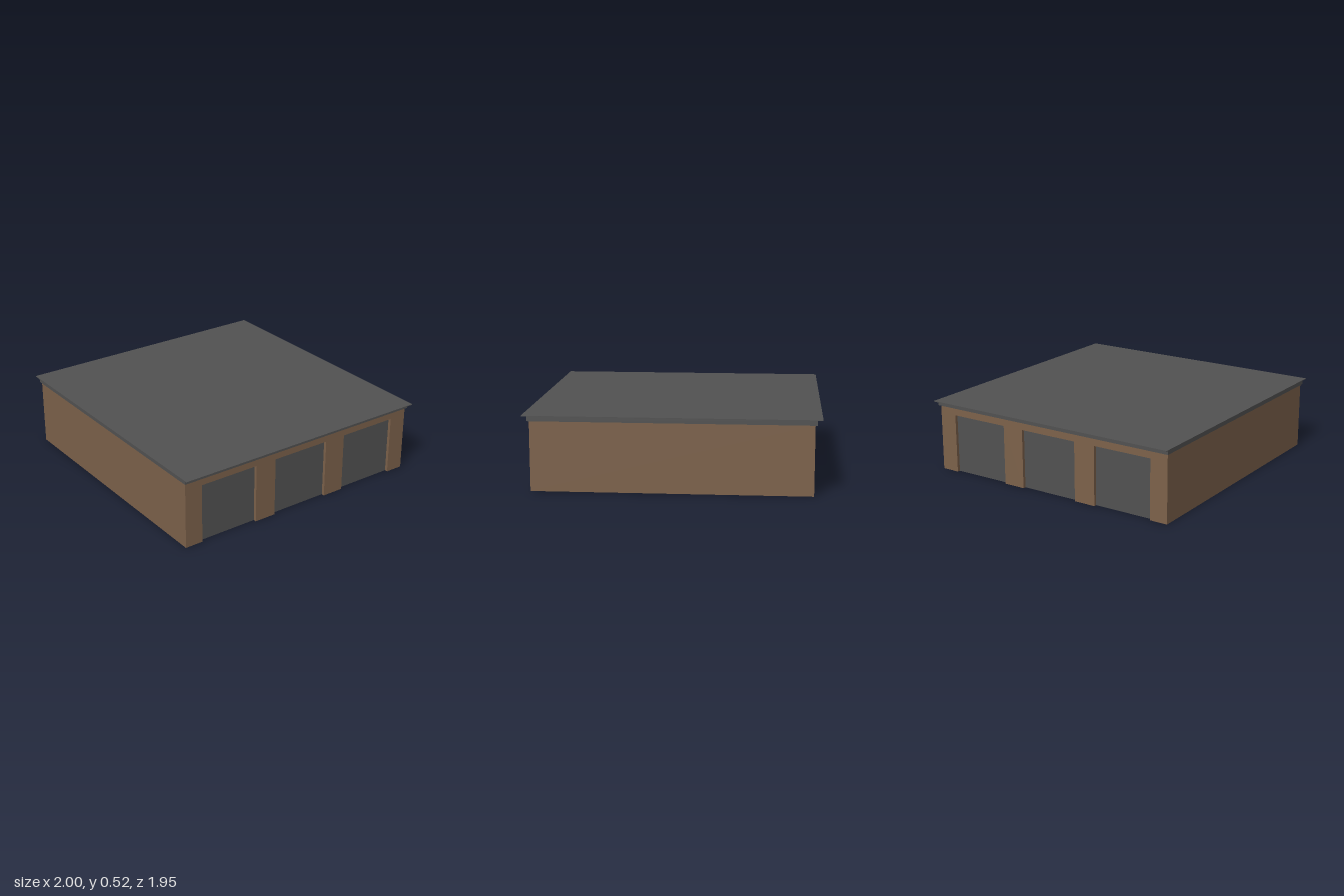
import * as THREE from 'three';

const WALL = 0.95, HEIGHT = 0.48, RECESS = 0.022;
const DOOR_W = 0.44, DOOR_H = 0.425, DOOR_Z = [-0.6, 0, 0.6];

export function createModel() {
  const brown = new THREE.MeshStandardMaterial({ color: 0x7d624b, side: THREE.DoubleSide });
  brown.name = 'brown wall';
  const grey = new THREE.MeshStandardMaterial({ color: 0x525252, side: THREE.DoubleSide });
  grey.name = 'dark grey';
  const model = new THREE.Group();
  model.name = 'garage';

  const add = (parent, name, geometry, material, x, y, z) => {
    const mesh = new THREE.Mesh(geometry, material);
    mesh.name = name;
    mesh.position.set(x, y, z);
    parent.add(mesh);
    return mesh;
  };

  // Plain front and back walls
  for (const [name, s] of [['frontWall', 1], ['backWall', -1]]) {
    const wall = add(model, name, new THREE.PlaneGeometry(2 * WALL, HEIGHT), brown, 0, HEIGHT / 2, s * WALL);
    if (s < 0) wall.rotation.y = Math.PI;
  }

  // Side wall, drawn facing +z and then turned outwards
  const outline = new THREE.Shape();
  outline.moveTo(-WALL, 0);
  for (const c of DOOR_Z) {
    outline.lineTo(c - DOOR_W / 2, 0);
    outline.lineTo(c - DOOR_W / 2, DOOR_H);
    outline.lineTo(c + DOOR_W / 2, DOOR_H);
    outline.lineTo(c + DOOR_W / 2, 0);
  }
  outline.lineTo(WALL, 0);
  outline.lineTo(WALL, HEIGHT);
  outline.lineTo(-WALL, HEIGHT);
  const sideGeometry = new THREE.ShapeGeometry(outline);

  for (const [name, s] of [['leftSide', 1], ['rightSide', -1]]) {
    const side = new THREE.Group();
    side.name = name;
    side.position.x = s * WALL;
    side.rotation.y = s * Math.PI / 2;
    model.add(side);
    add(side, 'sideWall', sideGeometry, brown, 0, 0, 0);
    for (const c of DOOR_Z) {
      // Recessed door with jambs and header
      add(side, 'door', new THREE.PlaneGeometry(DOOR_W, DOOR_H), grey, c, DOOR_H / 2, -RECESS);
      for (const e of [-1, 1]) {
        const jamb = add(side, 'doorJamb', new THREE.PlaneGeometry(RECESS, DOOR_H), brown,
          c + e * DOOR_W / 2, DOOR_H / 2, -RECESS / 2);
        jamb.rotation.y = -e * Math.PI / 2;
      }
      const header = add(side, 'doorHeader', new THREE.PlaneGeometry(DOOR_W, RECESS), brown,
        c, DOOR_H, -RECESS / 2);
      header.rotation.x = Math.PI / 2;
    }
  }

  // Ceiling stops just short of the front wall
  const ceiling = add(model, 'ceiling', new THREE.PlaneGeometry(2 * WALL, 1.83), brown, 0, HEIGHT - 0.003, -0.035);
  ceiling.rotation.x = Math.PI / 2;

  // Fascia slab and overhanging roof sheet
  add(model, 'fascia', new THREE.BoxGeometry(1.93, 0.034, 1.92), grey, 0, HEIGHT + 0.017, 0);
  add(model, 'roofSheet', new THREE.BoxGeometry(2, 0.005, 1.945), grey, 0, 0.5165, 0);
  return model;
}
